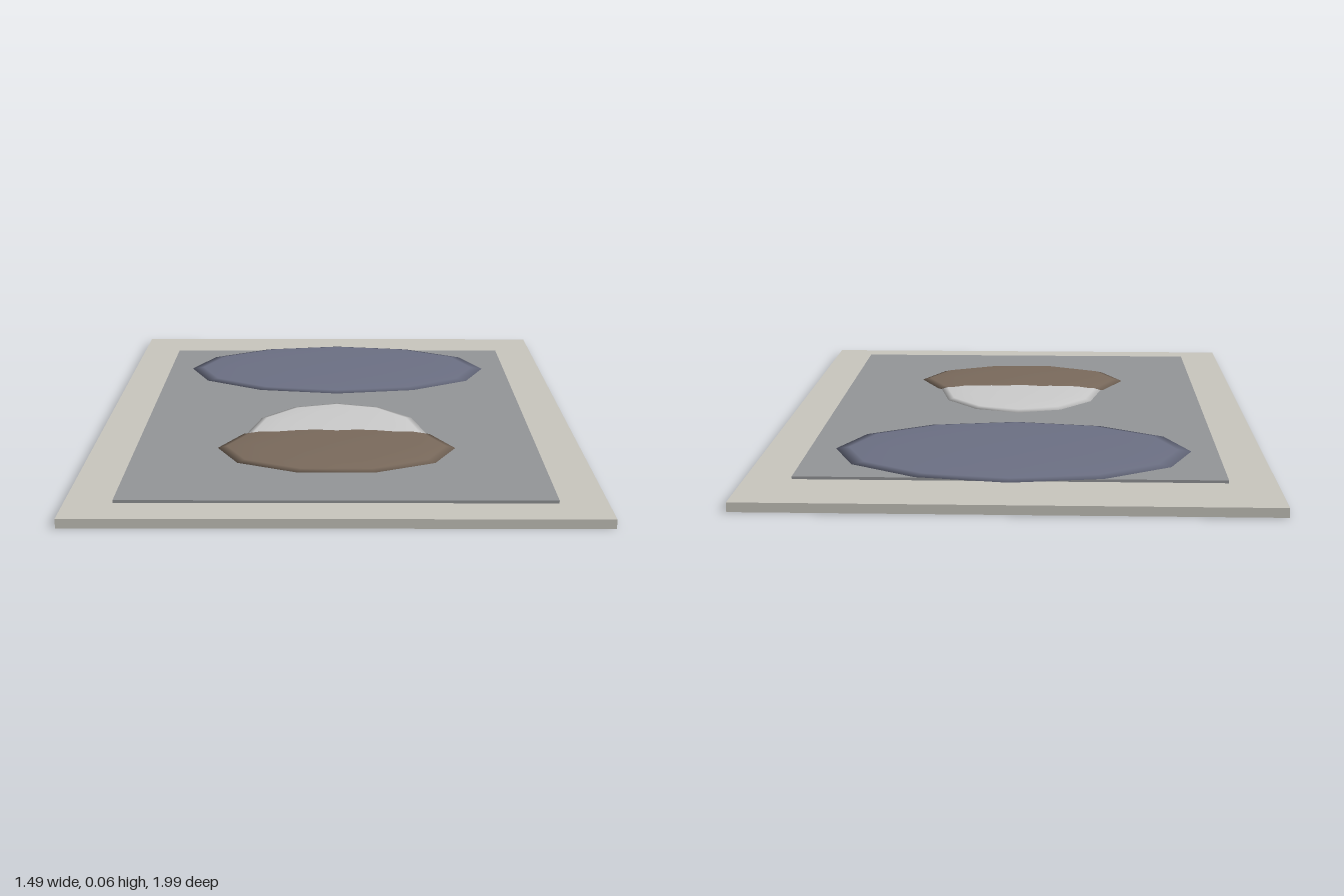
import * as THREE from 'three';

function addPart(group, name, geometry, color, x, y, z) {
  const mesh = new THREE.Mesh(geometry, new THREE.MeshStandardMaterial({ color }));
  mesh.name = name;
  mesh.position.set(x, y, z);
  group.add(mesh);
  return mesh;
}

// Low-poly sphere flattened into a thin pebble-like relief
function addRelief(group, name, color, sides, center, radii) {
  const geometry = new THREE.SphereGeometry(1, sides, 8).scale(...radii);
  return addPart(group, name, geometry, color, ...center);
}

export function createModel() {
  const model = new THREE.Group();
  model.name = 'reliefPlaque';

  // Backing slab and the raised panel on it
  addPart(model, 'slab', new THREE.BoxGeometry(1.49, 0.027, 1.985), 0xc8c6be, 0, 0.0135, 0.0075);
  addPart(model, 'panel', new THREE.BoxGeometry(1.22, 0.008, 1.65), 0x949698, 0, 0.031, 0.055);

  // Flattened reliefs: a wide oval, and an acorn-like pair that overlaps
  addRelief(model, 'wideOval', 0x6c7084, 12, [0, 0.038, -0.49], [0.53, 0.014, 0.33]);
  addRelief(model, 'paleOval', 0xcccccc, 12, [0, 0.038, 0.29], [0.28, 0.0138, 0.33]);
  addRelief(model, 'brownOval', 0x7a6a5c, 10, [0, 0.038, 0.435], [0.36, 0.0175, 0.237]);

  return model;
}
